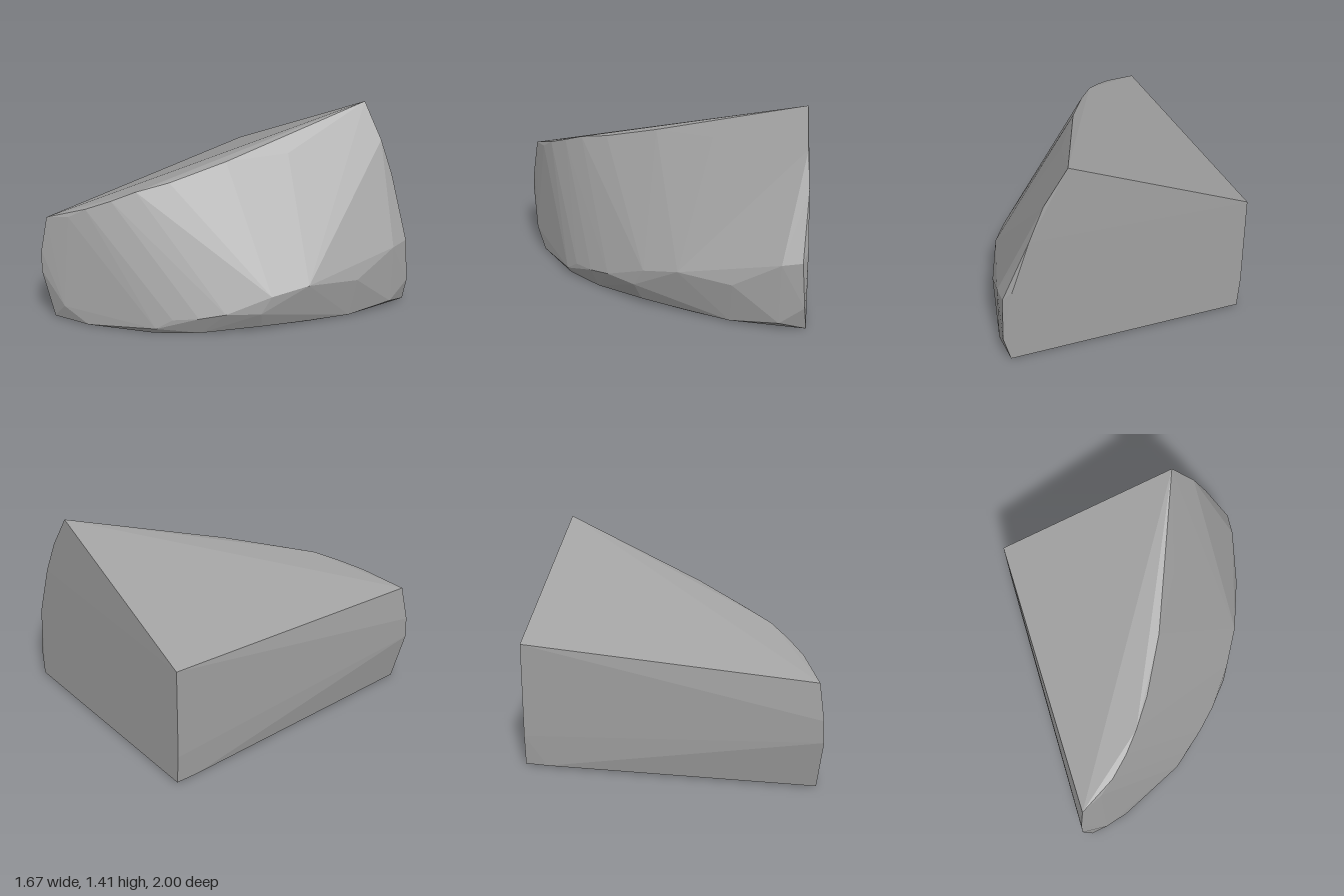
import * as THREE from 'three';
import { ConvexGeometry } from 'three/addons/geometries/ConvexGeometry.js';

export function createModel() {
  const group = new THREE.Group();
  group.name = 'rock';
  const stone = new THREE.MeshStandardMaterial({ color: 0xa0a0a0 });
  stone.name = 'grey stone';

  // Rim of the sloping top, from the back left corner round the front to the peak
  const rim = [
    [-0.84, 0.87, -1], [-0.81, 0.745, 0.96], [-0.56, 0.83, 0.82], [-0.43, 0.89, 0.7],
    [-0.32, 0.95, 0.57], [-0.19, 1.0, 0.38], [0, 1.11, 0.02], [0.39, 1.41, -0.99],
  ];
  // Chipped edge just below the rim
  const shoulder = [[-0.66, 0.765, 0.89], [0.22, 1.13, -0.37]];
  // Cut back face and its right edge
  const back = [
    [0.55, 1.16, -0.99], [0.65, 0.92, -1], [0.77, 0.55, -1], [0.825, 0.48, -0.965],
    [0.835, 0.17, -0.985], [-0.84, 0.22, -1],
  ];
  // Widest line of the curved side, from the front left to the back right
  const belly = [
    [-0.84, 0.5, 0.995], [-0.84, 0.35, 1], [-0.66, 0.12, 0.955], [-0.05, 0.045, 0.66],
    [0.04, 0.115, 0.585], [0.18, 0.13, 0.47], [0.31, 0.16, 0.34], [0.46, 0.15, 0.15],
    [0.5, 0.27, 0.085], [0.63, 0.32, -0.15], [0.76, 0.29, -0.51], [0.82, 0.46, -0.83],
    [0.815, 0.05, -0.82],
  ];
  // Flat underside
  const base = [
    [-0.825, 0.01, -1], [-0.83, 0.01, -0.85], [-0.775, 0.01, 0.95], [-0.5, 0.005, 0.88],
    [-0.08, 0, 0.64], [0.15, 0, 0.42], [0.42, 0.03, 0.1], [0.55, 0.005, -0.22],
    [0.7, 0.01, -0.5], [0.79, 0.005, -1],
  ];

  // The rock is the faceted hull of these rings
  const points = [rim, shoulder, back, belly, base].flat().map((p) => new THREE.Vector3(...p));
  const body = new THREE.Mesh(new ConvexGeometry(points), stone);
  body.name = 'rockBody';
  group.add(body);
  return group;
}
